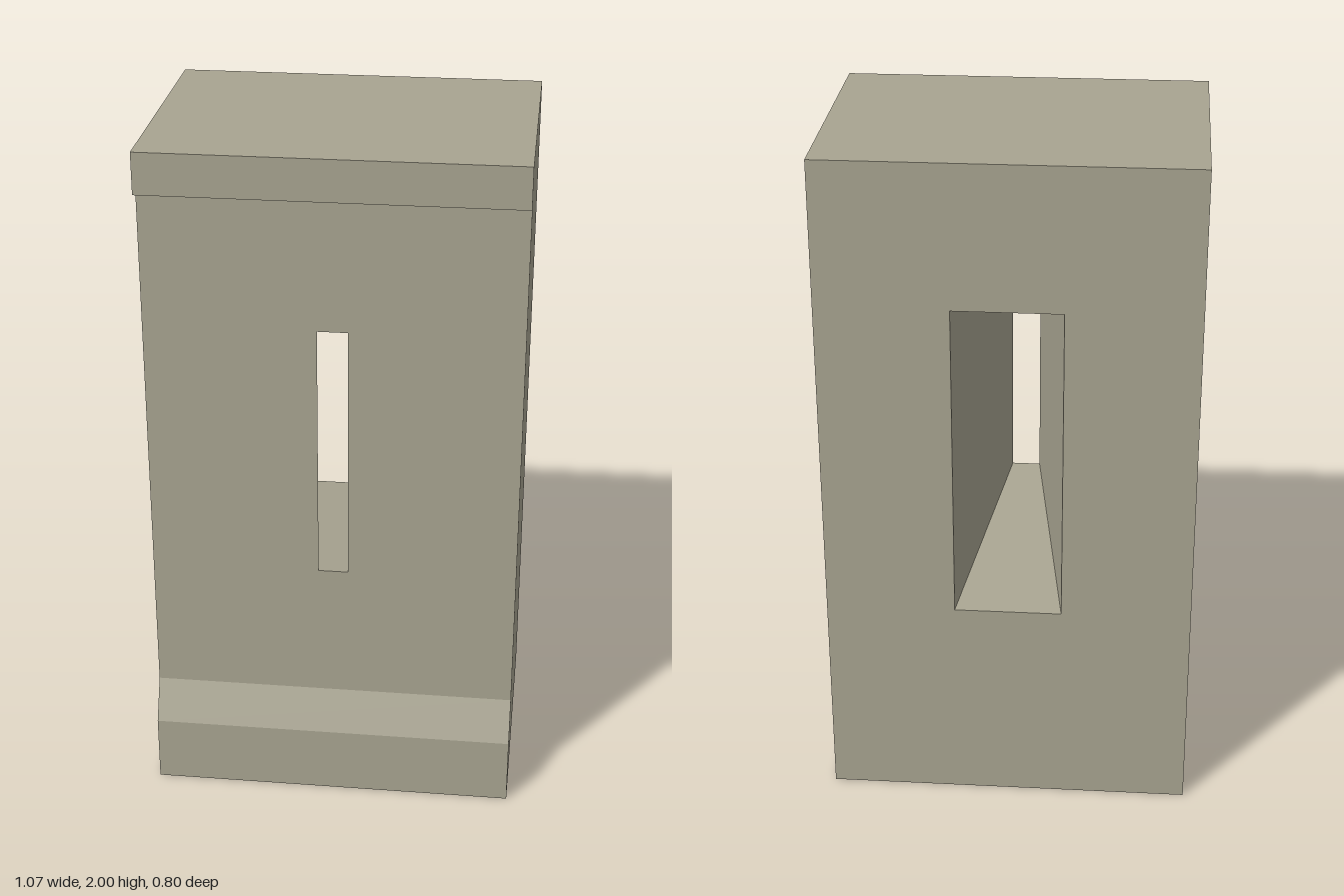
import * as THREE from 'three';

const HALF_W = 0.533, BACK = -0.4, FACE = 0.345, HEIGHT = 2;
// Embrasure: narrow slit at the front, splayed wider and taller to the back
const SLIT = { halfW: 0.043, y0: 0.73, y1: 1.49 };
const REAR = { halfW: 0.156, y0: 0.63, y1: 1.58 };

// Wall block with the slit cut through, its rear rim moved outwards
function wallGeometry() {
  const shape = new THREE.Shape([
    new THREE.Vector2(-HALF_W, 0), new THREE.Vector2(HALF_W, 0),
    new THREE.Vector2(HALF_W, HEIGHT), new THREE.Vector2(-HALF_W, HEIGHT),
  ]);
  shape.holes.push(new THREE.Path([
    new THREE.Vector2(-SLIT.halfW, SLIT.y0), new THREE.Vector2(-SLIT.halfW, SLIT.y1),
    new THREE.Vector2(SLIT.halfW, SLIT.y1), new THREE.Vector2(SLIT.halfW, SLIT.y0),
  ]));
  const geo = new THREE.ExtrudeGeometry(shape, { depth: FACE - BACK, bevelEnabled: false });
  geo.translate(0, 0, BACK);
  const p = geo.attributes.position;
  const middle = (SLIT.y0 + SLIT.y1) / 2;
  for (let i = 0; i < p.count; i++) {
    const onRearRim = Math.abs(p.getX(i)) < 0.1 && p.getZ(i) < 0;
    if (!onRearRim) continue;
    p.setX(i, Math.sign(p.getX(i)) * REAR.halfW);
    p.setY(i, p.getY(i) < middle ? REAR.y0 : REAR.y1);
  }
  geo.computeVertexNormals();
  return geo;
}

// Horizontal moulding: a [z, y] profile swept across the full width
function mouldingGeometry(profile) {
  const shape = new THREE.Shape(profile.map(([z, y]) => new THREE.Vector2(-z, y)));
  const geo = new THREE.ExtrudeGeometry(shape, { depth: 2 * HALF_W, bevelEnabled: false });
  geo.translate(0, 0, -HALF_W);
  geo.rotateY(Math.PI / 2);
  return geo;
}

export function createModel() {
  const stone = new THREE.MeshStandardMaterial({ color: 0xa8a491 });
  stone.name = 'stone';
  const model = new THREE.Group();
  model.name = 'wallSegment';

  const add = (name, geometry) => {
    const mesh = new THREE.Mesh(geometry, stone);
    mesh.name = name;
    model.add(mesh);
  };

  add('wall', wallGeometry());
  // Plinth with a sloped top
  add('plinth', mouldingGeometry([[FACE, 0], [0.4, 0], [0.4, 0.2], [FACE, 0.32]]));
  // Projecting band along the top
  add('cornice', mouldingGeometry([[FACE, 1.88], [0.385, 1.88], [0.385, HEIGHT], [FACE, HEIGHT]]));
  return model;
}
